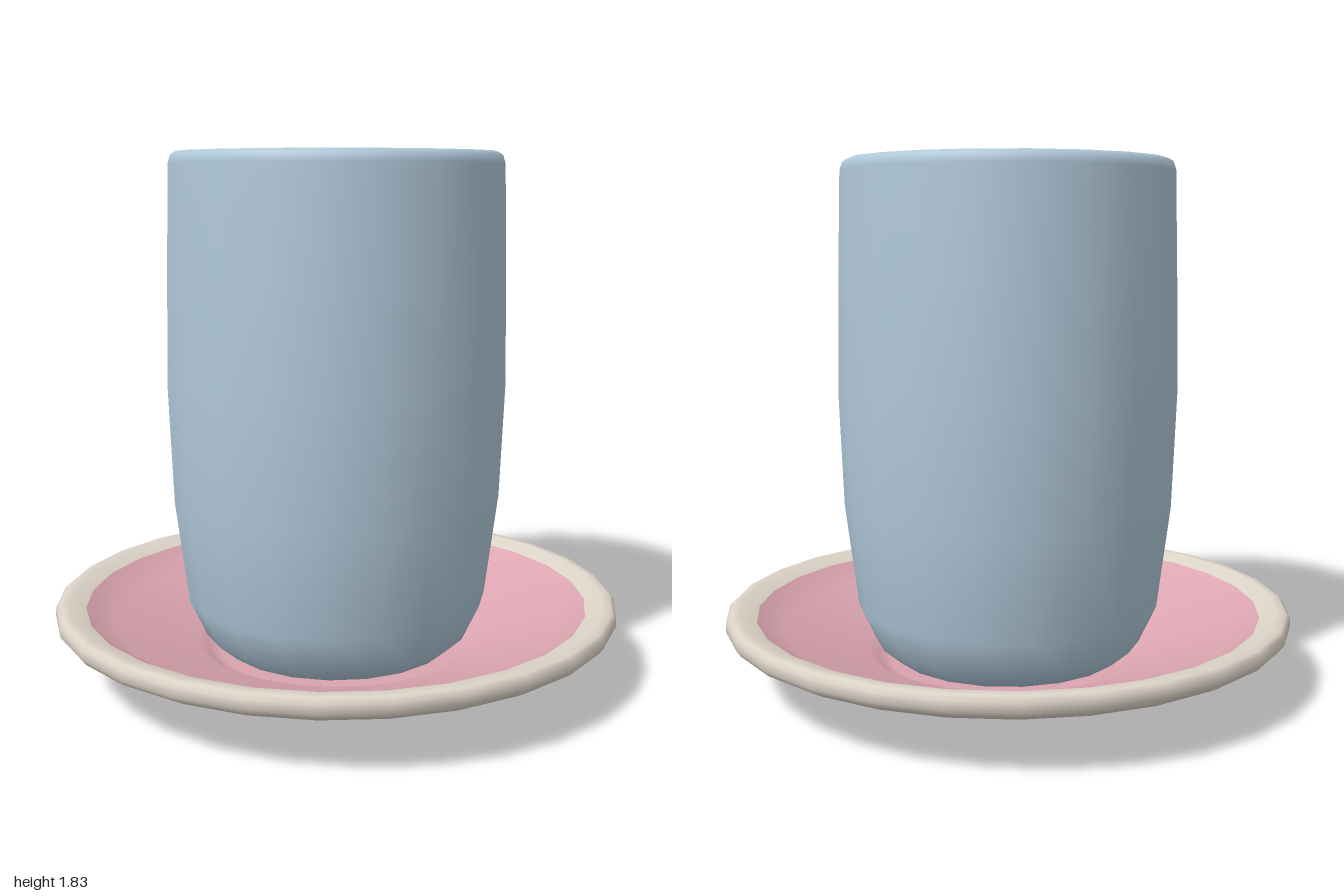
import * as THREE from 'three';

const material = (name, color) => {
  const m = new THREE.MeshStandardMaterial({ color });
  m.name = name;
  return m;
};

// Turned part: profile runs up the outside and down the inside
function turned(name, profile, segments, mat) {
  const points = profile.map(([r, y]) => new THREE.Vector2(r, y));
  const mesh = new THREE.Mesh(new THREE.LatheGeometry(points, segments), mat);
  mesh.name = name;
  return mesh;
}

export function createModel() {
  const blue = material('blue glaze', 0xb0c8d9);
  const pink = material('pink glaze', 0xdba5b0);
  const cream = material('cream', 0xddd4c8);

  const model = new THREE.Group();
  model.name = 'cupAndSaucer';

  // Saucer: underside, cream rim band and sunken upper face
  const saucer = new THREE.Group();
  saucer.name = 'saucer';
  saucer.add(
    turned('saucerUnderside', [
      [0, 0], [0.36, 0], [0.415, 0.003], [0.455, 0.022], [0.51, 0.068],
      [0.82, 0.135], [0.95, 0.185],
    ], 28, pink),
    turned('saucerRim', [
      [0.95, 0.185], [0.985, 0.205], [1, 0.225], [1, 0.255],
      [0.985, 0.27], [0.955, 0.273], [0.895, 0.25],
    ], 28, cream),
    turned('saucerTop', [
      [0.895, 0.25], [0.8, 0.19], [0.51, 0.105], [0.47, 0.075], [0.42, 0.052], [0, 0.05],
    ], 28, pink),
  );

  // Cup: rounded base, gently bulging wall, soft lip and hollow inside
  const cup = new THREE.Group();
  cup.name = 'cup';
  cup.add(
    turned('cupBody', [
      [0, 0.065], [0.3, 0.065], [0.41, 0.085], [0.475, 0.14], [0.535, 0.27],
      [0.58, 0.63], [0.595, 1.03], [0.588, 1.4], [0.577, 1.79],
      [0.568, 1.818], [0.55, 1.83], [0.525, 1.83], [0.507, 1.818], [0.5, 1.79],
      [0.505, 1.4], [0.5, 1], [0.46, 0.4], [0.36, 0.18], [0, 0.16],
    ], 20, blue),
    // Slightly domed drink surface
    turned('drink', [
      [0.5, 1.455], [0.44, 1.478], [0.33, 1.508], [0.18, 1.53], [0, 1.54],
    ], 20, cream),
  );

  model.add(saucer, cup);
  return model;
}
